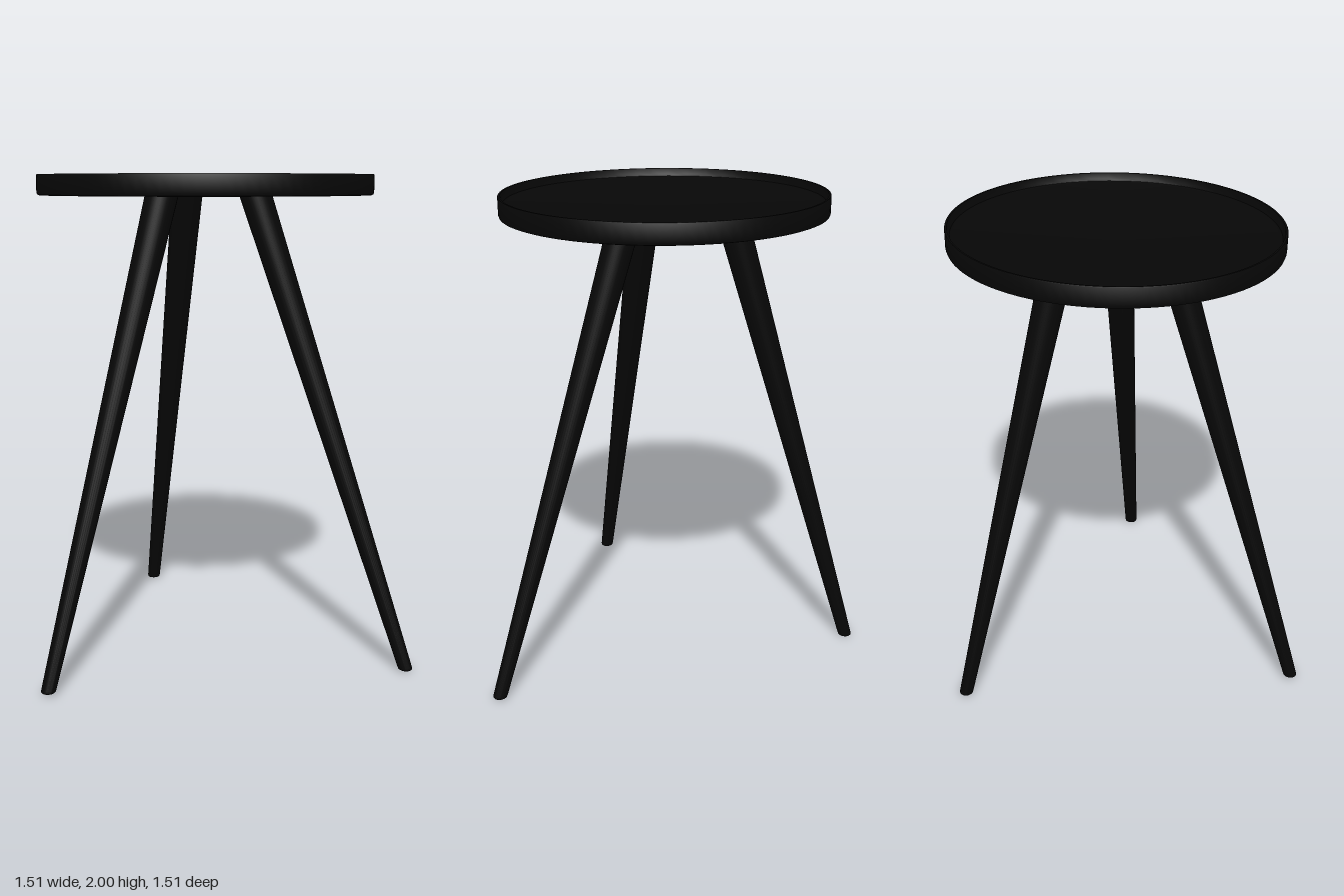
import * as THREE from 'three';
import { toCreasedNormals } from 'three/addons/utils/BufferGeometryUtils.js';

const black = new THREE.MeshStandardMaterial({ color: 0x070707 });
black.name = 'black';

// Revolve a [radius, height] profile around the y axis
function turned(profile, segments) {
  return new THREE.LatheGeometry(profile.map(([r, y]) => new THREE.Vector2(r, y)), segments);
}

// Keep sharp edges and name the part
function makePart(name, geometry) {
  const mesh = new THREE.Mesh(toCreasedNormals(geometry, 0.6), black);
  mesh.name = name;
  return mesh;
}

// Tapered round leg, slanted so that foot and top stay level
function makeLeg(name, foot, top) {
  const [dx, height, dz] = top.map((v, i) => v - foot[i]);
  const geometry = turned([
    [0, 0], [0.025, 0], [0.0285, 0.003], [0.0295, 0.01],
    [0.068, height], [0, height],
  ], 32);
  const kx = dx / height;
  const kz = dz / height;
  geometry.applyMatrix4(new THREE.Matrix4().set(
    1, kx, 0, 0,
    0, 1, 0, 0,
    0, kz, 1, 0,
    0, 0, 0, 1,
  ));
  const leg = makePart(name, geometry);
  leg.position.set(...foot);
  return leg;
}

export function createModel() {
  const stool = new THREE.Group();
  stool.name = 'stool';

  // Shallow dished seat with a thin raised rim, slightly oval
  const seat = makePart('seat', turned([
    [0, 0], [0.681, 0], [0.689, 0.003], [0.692, 0.011],
    [0.692, 0.08], [0.69, 0.083], [0.682, 0.083],
    [0.678, 0.06], [0.673, 0.05], [0.664, 0.046], [0, 0.046],
  ], 96));
  seat.position.set(0.007, 1.917, 0.085);
  seat.scale.z = 0.97;
  stool.add(seat);

  // Three splayed legs
  stool.add(
    makeLeg('frontLeftLeg', [0.725, 0.003, 0.645], [0.184, 1.935, 0.202]),
    makeLeg('frontRightLeg', [-0.732, 0.014, 0.573], [-0.197, 1.935, 0.212]),
    makeLeg('backLeg', [-0.075, 0, -0.727], [-0.013, 1.935, -0.179]),
  );
  return stool;
}
